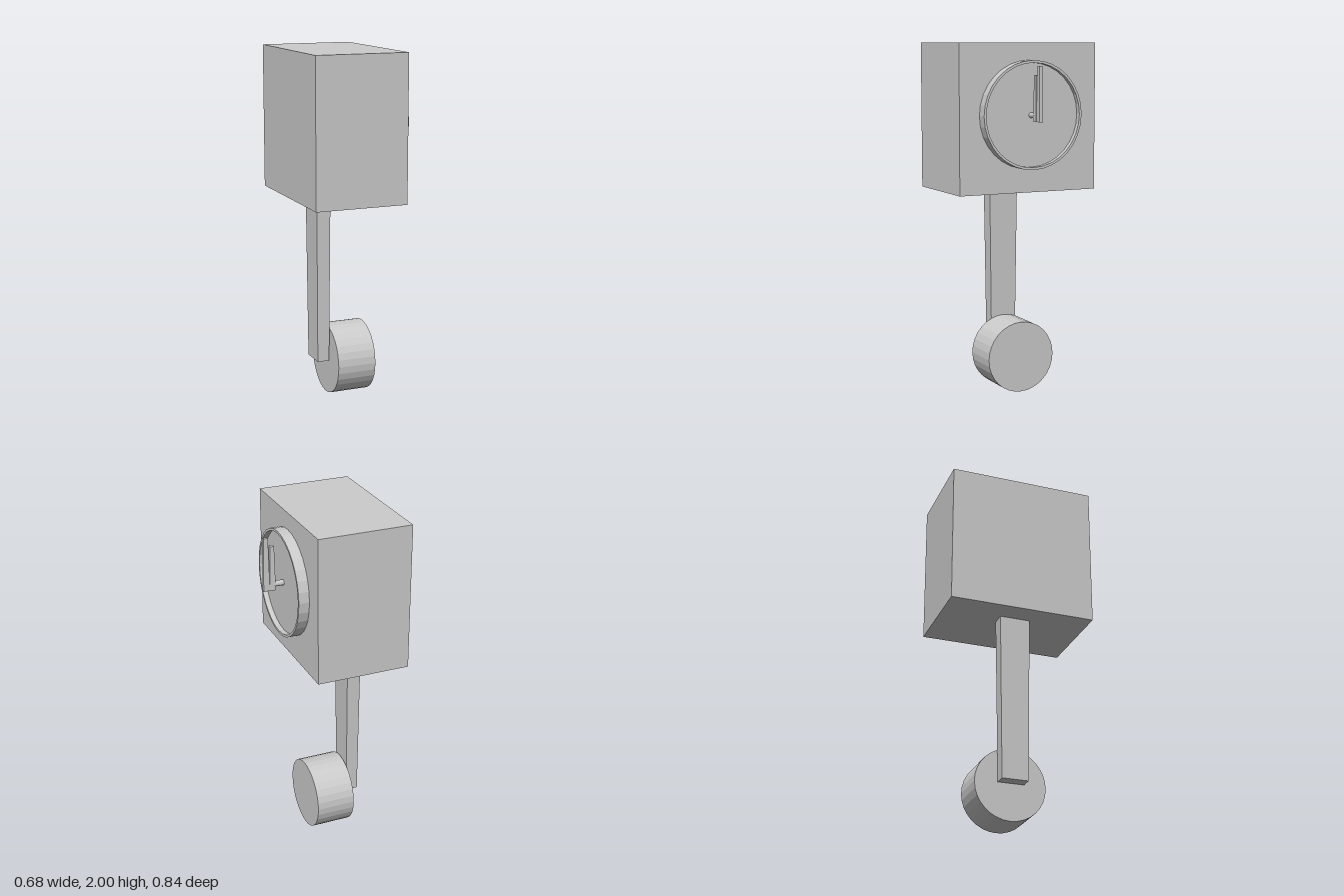
import * as THREE from 'three';

const mat = new THREE.MeshStandardMaterial({ color: 0xcccccc, flatShading: true });

function add(group, name, geometry, x, y, z = 0) {
  const mesh = new THREE.Mesh(geometry, mat);
  mesh.name = name;
  mesh.position.set(x, y, z);
  group.add(mesh);
  return mesh;
}

// Cylinder lying along x
function discX(radius, length, sides) {
  return new THREE.CylinderGeometry(radius, radius, length, sides).rotateZ(-Math.PI / 2);
}

// Bar standing on y = 0, with its own width (x) and depth (z) at bottom and top
function taperedBar(height, bottom, top) {
  const g = new THREE.BoxGeometry(1, height, 1).translate(0, height / 2, 0);
  const p = g.attributes.position;
  for (let i = 0; i < p.count; i++) {
    const [w, d] = p.getY(i) > height / 2 ? top : bottom;
    p.setX(i, p.getX(i) * w);
    p.setZ(i, p.getZ(i) * d);
  }
  g.computeVertexNormals();
  return g;
}

export function createModel() {
  const clock = new THREE.Group();
  clock.name = 'pendulumClock';

  // Case
  add(clock, 'case', new THREE.BoxGeometry(0.536, 0.83, 0.842), -0.076, 1.585);

  // Dial: raised rim around a slightly sunken face, looking along +x
  const dial = new THREE.Group();
  dial.name = 'dial';
  dial.position.set(0.192, 1.603, 0);
  clock.add(dial);
  const rim = [[0.302, 0], [0.302, 0.06], [0.288, 0.06], [0.288, 0.03], [0, 0.03]]
    .map(([r, h]) => new THREE.Vector2(r, h));
  add(dial, 'rimAndFace', new THREE.LatheGeometry(rim, 32).rotateZ(-Math.PI / 2), 0, 0);

  // Spindle and the two hands, both pointing up
  add(dial, 'spindle', discX(0.016, 0.07, 16), 0.055, 0);
  add(dial, 'hourHand', taperedBar(0.255, [0.034, 0.029], [0.024, 0.022]), 0.096, -0.033);
  add(dial, 'minuteHand', taperedBar(0.305, [0.036, 0.022], [0.026, 0.016]), 0.13, -0.033);

  // Pendulum
  const pendulum = new THREE.Group();
  pendulum.name = 'pendulum';
  clock.add(pendulum);
  add(pendulum, 'rod', taperedBar(0.98, [0.07, 0.152], [0.082, 0.176]), -0.17, 0.21);
  add(pendulum, 'bob', discX(0.205, 0.228, 32), -0.013, 0.205);

  return clock;
}
